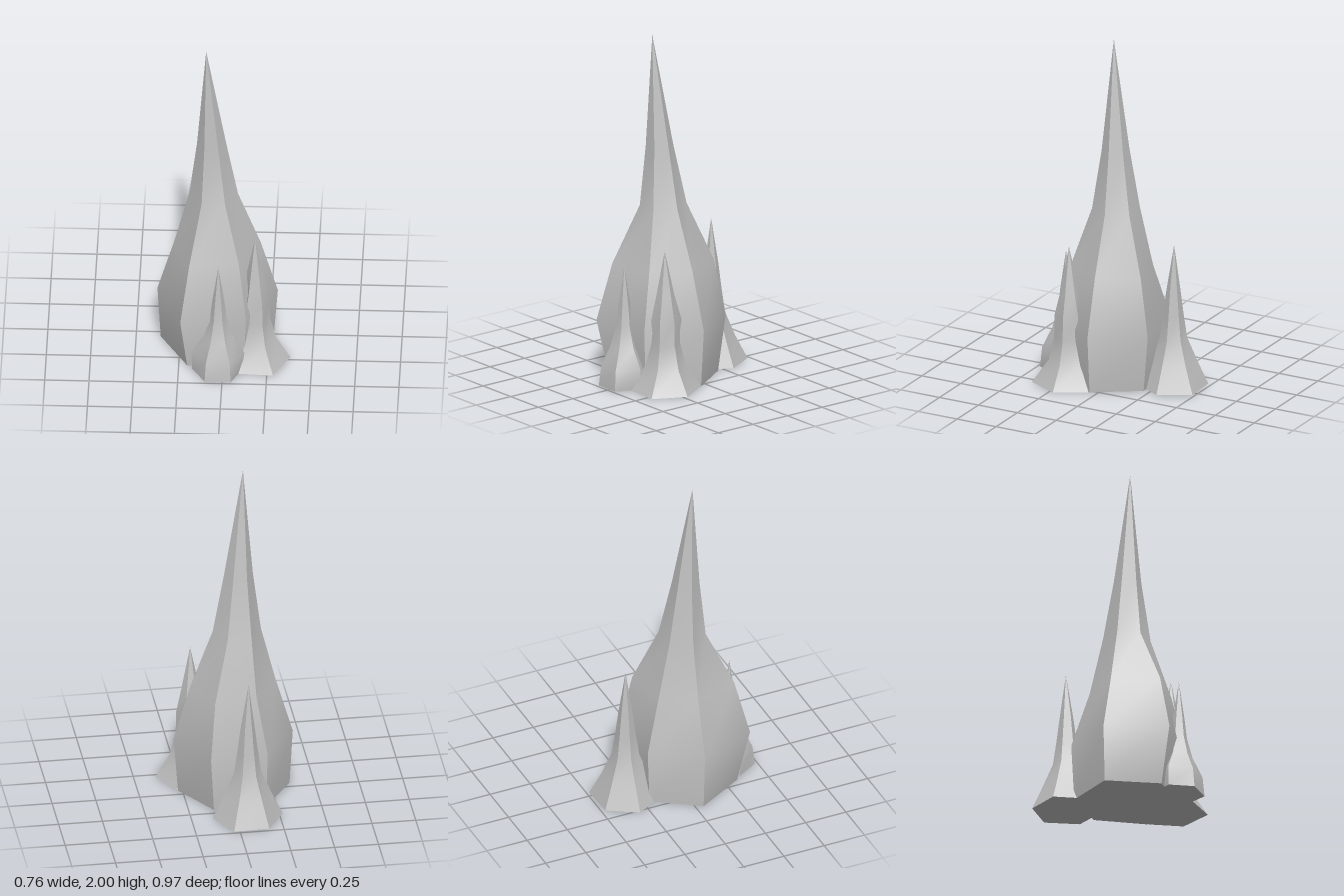
import * as THREE from 'three';
import { toCreasedNormals } from 'three/addons/utils/BufferGeometryUtils.js';

const SIDES = 6;
const STEPS = [0, 0.167, 0.333, 0.5, 0.675]; // ring heights as a share of the spire height

// Six-sided spire: rings of radii around a leaning centre line, closed by a tip and a flat base.
// lean gives the [x, z] centre of every ring; wobble scales each corner of a ring.
function spireGeometry(height, tip, radii, lean, wobble) {
  const rings = radii.map((r, k) => {
    const ring = [];
    for (let i = 0; i < SIDES; i++) {
      const a = (i / SIDES) * Math.PI * 2;
      const s = r * wobble[k][i];
      ring.push([lean[k][0] + Math.cos(a) * s, STEPS[k] * height, lean[k][1] + Math.sin(a) * s]);
    }
    return ring;
  });
  const apex = [tip[0], height, tip[1]];
  const foot = [lean[0][0], 0, lean[0][1]];
  const last = rings.length - 1;
  const pos = [];
  const tri = (a, b, c) => pos.push(...a, ...b, ...c);
  for (let i = 0; i < SIDES; i++) {
    const j = (i + 1) % SIDES;
    for (let k = 0; k < last; k++) {
      tri(rings[k][i], rings[k + 1][i], rings[k][j]);
      tri(rings[k][j], rings[k + 1][i], rings[k + 1][j]);
    }
    tri(rings[last][i], apex, rings[last][j]);
    tri(foot, rings[0][i], rings[0][j]);
  }
  const g = new THREE.BufferGeometry();
  g.setAttribute('position', new THREE.Float32BufferAttribute(pos, 3));
  return toCreasedNormals(g, 0.65); // smooth up each side, sharp between sides
}

export function createModel() {
  const group = new THREE.Group();
  const stone = new THREE.MeshStandardMaterial({ color: 0xc0c0c0 });
  stone.name = 'grey stone';

  const even = [1, 1, 1, 1, 1, 1];
  const add = (name, ...args) => {
    const mesh = new THREE.Mesh(spireGeometry(...args), stone);
    mesh.name = name;
    group.add(mesh);
  };

  // Tall central spire, bulging above its foot and leaning to a point
  add('mainSpire', 2, [-0.103, 0.095],
    [0.315, 0.34, 0.243, 0.1375, 0.0825],
    [[-0.04, 0.045], [-0.04, 0.045], [-0.04, 0.05], [-0.062, 0.056], [-0.073, 0.067]],
    [
      [1, 1, 1.03, 1.02, 0.94, 0.94],
      [1, 1, 1.17, 1, 0.92, 1],
      [1, 1.04, 1.25, 1, 0.87, 1.13],
      [1, 1, 0.93, 1, 0.97, 1.01],
      [1, 0.95, 0.95, 1, 0.95, 0.95],
    ]);

  // Small spires around the foot
  const small = (name, height, x, z, tip, radii, wobble) =>
    add(name, height, tip, radii, radii.map(() => [x, z]), radii.map((_, k) => wobble[k] || even));

  small('backSpire', 0.84, -0.07, -0.306, [-0.075, -0.308],
    [0.2, 0.135, 0.078, 0.058, 0.04],
    [[1, 1, 1, 1, 0.98, 1.03]]);
  small('rightFrontSpire', 0.815, 0.178, 0.225, [0.178, 0.23],
    [0.2, 0.118, 0.088, 0.085, 0.052],
    [[1, 1.07, 1, 1, 1, 1], even, [0.95, 1, 1, 0.7, 0.9, 1], [0.95, 1, 0.95, 0.65, 0.9, 1.08]]);
  small('frontSpire', 0.7, -0.025, 0.358, [-0.025, 0.36],
    [0.148, 0.147, 0.08, 0.048, 0.034],
    [[0.9, 1, 0.99, 1, 1, 1], [1, 0.93, 0.9, 1.03, 1, 1]]);

  return group;
}
